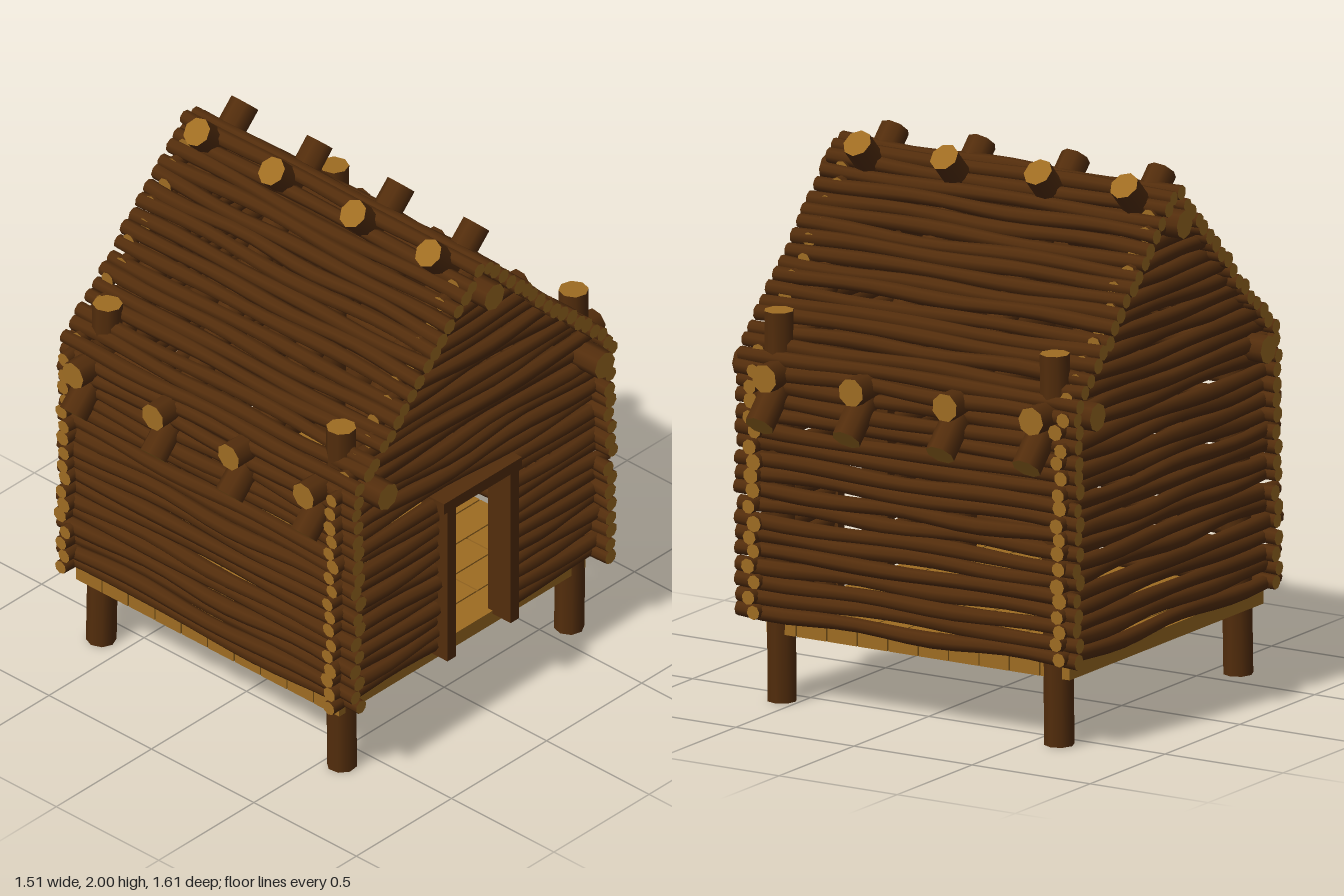
import * as THREE from 'three';

const bark = new THREE.MeshStandardMaterial({ color: 0x532d0c });
bark.name = 'bark';
const wood = new THREE.MeshStandardMaterial({ color: 0x9e6c22 });
wood.name = 'cutWood';

// small seeded generator for natural irregularity
let seed = 7;
function rnd(range = 1) {
  seed = (seed * 16807) % 2147483647;
  return (seed / 2147483647 * 2 - 1) * range;
}

// a log from a to b: bark sides, cut wood ends, slightly crooked when wobble > 0
function log(parent, name, a, b, r, wobble = 0, segments = 1) {
  const A = new THREE.Vector3(...a), B = new THREE.Vector3(...b);
  const dir = B.clone().sub(A), len = dir.length();
  const geo = new THREE.CylinderGeometry(r, r, len, 8, segments);
  geo.rotateY(rnd(Math.PI));
  if (wobble > 0) {
    const p = geo.attributes.position;
    const f1 = 7 + rnd(3), f2 = 7 + rnd(3), p1 = rnd(3), p2 = rnd(3), p3 = rnd(3);
    for (let i = 0; i < p.count; i++) {
      const y = p.getY(i), s = 1 + 0.08 * Math.sin(y * 9 + p3);
      p.setX(i, p.getX(i) * s + wobble * Math.sin(y * f1 + p1));
      p.setZ(i, p.getZ(i) * s + wobble * Math.sin(y * f2 + p2));
    }
  }
  const mesh = new THREE.Mesh(geo, [bark, wood, wood]);
  mesh.name = name;
  mesh.position.copy(A).add(B).multiplyScalar(0.5);
  mesh.quaternion.setFromUnitVectors(new THREE.Vector3(0, 1, 0), dir.normalize());
  parent.add(mesh);
}

function box(parent, name, mat, size, pos) {
  const mesh = new THREE.Mesh(new THREE.BoxGeometry(...size), mat);
  mesh.name = name;
  mesh.position.set(...pos);
  parent.add(mesh);
}

function section(parent, name) {
  const g = new THREE.Group();
  g.name = name;
  parent.add(g);
  return g;
}

export function createModel() {
  seed = 7;
  const hut = new THREE.Group();
  hut.name = 'logHut';
  const step = 0.056, R = 0.0285, bend = 0.006;

  // front and back walls: logs along x
  for (const [name, z] of [['frontWall', 0.677], ['backWall', -0.65]]) {
    const wall = section(hut, name);
    for (let i = 0; i < 17; i++) {
      const y = 0.337 + i * step, zz = z + (i % 2 ? 0.007 : -0.007) + rnd(0.003);
      log(wall, 'wallLog', [-0.73, y, zz], [0.71, y, zz], R, bend, 14);
    }
  }

  // side walls and gables: logs along z, doorway cut in the left one
  for (const [name, x] of [['leftWall', 0.63], ['rightWall', -0.673]]) {
    const wall = section(hut, name);
    for (let i = 0; i < 28; i++) {
      const y = 0.337 + i * step, xx = x + (i % 2 ? 0.007 : -0.007) + rnd(0.003);
      const half = Math.min(0.72, 1.942 - y);
      const z0 = 0.022 - half, z1 = 0.022 + half;
      if (y > 1.24) {
        log(wall, 'gableLog', [xx, y, 0.012 - half], [xx, y, 0.012 + half], R, bend, 10);
      } else if (x > 0 && y < 0.95) {
        log(wall, 'wallLog', [xx, y, z0], [xx, y, -0.16], R, bend, 6);
        log(wall, 'wallLog', [xx, y, 0.17], [xx, y, z1], R, bend, 6);
      } else {
        log(wall, 'wallLog', [xx, y, z0], [xx, y, z1], R, bend, 14);
      }
    }
  }

  // door frame
  const frame = section(hut, 'doorFrame');
  for (const z of [0.17, -0.162]) box(frame, 'doorJamb', bark, [0.11, 0.65, 0.045], [0.64, 0.622, z]);
  box(frame, 'doorLintel', bark, [0.11, 0.045, 0.41], [0.64, 0.963, 0.005]);

  // roof logs on both slopes
  for (const side of [1, -1]) {
    const slope = section(hut, side > 0 ? 'frontRoof' : 'backRoof');
    for (let i = 0; i < 17; i++) {
      const d = 0.022 + i * 0.0394, y = 1.93 - d + rnd(0.006), z = 0.012 + side * d;
      log(slope, 'roofLog', [-0.73, y, z], [0.71, y, z], 0.028, bend, 14);
    }
  }

  // beams along x: ridge and eaves
  const beams = section(hut, 'longBeams');
  for (const [y, z] of [[1.81, 0.01], [1.225, 0.57], [1.225, -0.57]]) {
    log(beams, 'longBeam', [-0.76, y, z], [0.755, y, z], 0.053);
  }

  // crossed rafters and tie beams
  const rafters = section(hut, 'rafters');
  for (const [top, eave] of [[-0.59, -0.6], [-0.225, -0.21], [0.172, 0.16], [0.54, 0.525]]) {
    log(rafters, 'frontRafter', [eave, 1.053, 0.765], [top, 1.96, -0.127], 0.055);
    log(rafters, 'backRafter', [top + 0.01, 1.053, -0.765], [top, 1.96, 0.127], 0.055);
    log(rafters, 'tieBeam', [top, 1.225, -0.75], [eave, 1.22, 0.768], 0.053);
  }

  // corner posts, slightly leaning
  const posts = section(hut, 'cornerPosts');
  for (const [bx, bz, tx, tz] of [
    [-0.607, 0.61, -0.595, 0.59], [0.567, 0.61, 0.55, 0.595],
    [-0.607, -0.585, -0.6, -0.605], [0.567, -0.585, 0.565, -0.61],
  ]) log(posts, 'cornerPost', [bx, 0, bz], [tx, 1.447, tz], 0.055);

  // floor planks along z, the inner rows with staggered joints
  const floor = section(hut, 'floor');
  const cols = 10, w = 1.29 / cols, zMin = -0.63, zMax = 0.67;
  for (let c = 0; c < cols; c++) {
    const edge = c === 0 || c === cols - 1;
    const plank = edge ? zMax - zMin : 0.433;
    let z = zMin, end = zMin + plank * (edge ? 1 : [1, 0.5][c % 2]);
    while (z < zMax - 0.01) {
      end = Math.min(end, zMax);
      box(floor, 'floorPlank', wood, [w - 0.006, 0.056, end - z - 0.006], [-0.68 + (c + 0.5) * w, 0.282, (z + end) / 2]);
      z = end;
      end += plank;
    }
  }
  return hut;
}
